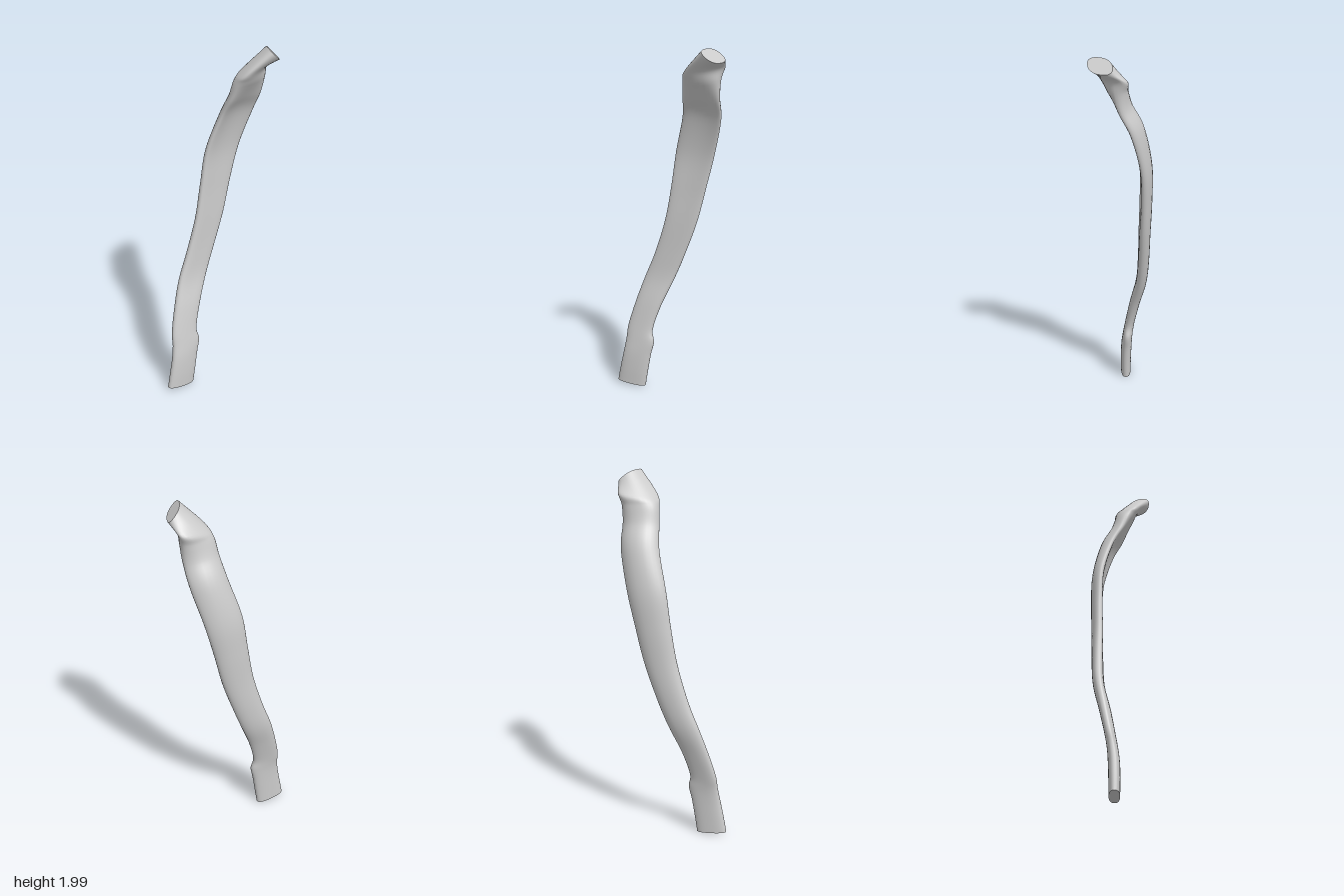
import * as THREE from 'three';

// Cross-sections from bottom to top:
// [left edge x,y,z, right edge x,y,z, half thickness, backward bow]
const SECTIONS = [
  [-0.315, 0.02, -0.052, -0.147, 0.003, -0.046, 0.028, 0.0],
  [-0.298, 0.11, -0.052, -0.132, 0.10, -0.045, 0.030, 0.0],
  [-0.28, 0.20, -0.055, -0.115, 0.20, -0.047, 0.030, 0.0],
  [-0.266, 0.28, -0.066, -0.098, 0.28, -0.05, 0.028, 0.0],
  [-0.258, 0.36, -0.083, -0.108, 0.355, -0.06, 0.027, 0.0],
  [-0.22, 0.50, -0.108, -0.064, 0.50, -0.082, 0.029, 0.002],
  [-0.17, 0.65, -0.13, 0.002, 0.65, -0.112, 0.030, 0.006],
  [-0.112, 0.80, -0.132, 0.062, 0.80, -0.122, 0.031, 0.008],
  [-0.052, 1.00, -0.127, 0.132, 1.00, -0.124, 0.031, 0.011],
  [-0.016, 1.20, -0.126, 0.182, 1.20, -0.124, 0.031, 0.016],
  [0.014, 1.40, -0.116, 0.232, 1.40, -0.110, 0.031, 0.023],
  [0.065, 1.60, -0.062, 0.278, 1.60, -0.056, 0.032, 0.033],
  [0.083, 1.72, -0.004, 0.284, 1.72, 0.0, 0.036, 0.026],
  [0.095, 1.815, 0.026, 0.290, 1.82, 0.018, 0.053, 0.006],
  [0.122, 1.872, 0.052, 0.302, 1.885, 0.025, 0.070, 0.0],
  [0.236, 1.997, 0.112, 0.314, 1.927, 0.102, 0.067, 0.0],
];
const ROWS = 90, SIDES = 28;
const HEAD_FRONT = new THREE.Vector3(-0.4, 0, 0.92);

// Smooth curves through the left edge, the right edge and the thickness values
const curveOf = (pick) => new THREE.CatmullRomCurve3(SECTIONS.map(pick), false, 'catmullrom', 0.5);
const leftEdge = curveOf((s) => new THREE.Vector3(s[0], s[1], s[2]));
const rightEdge = curveOf((s) => new THREE.Vector3(s[3], s[4], s[5]));
const thickness = curveOf((s) => new THREE.Vector3(s[6], s[7], 0));

// One closed, slightly crescent ring across the shaft at t
function ring(t) {
  const l = leftEdge.getPoint(t), r = rightEdge.getPoint(t), k = thickness.getPoint(t);
  const mid = l.clone().add(r).multiplyScalar(0.5);
  const half = r.clone().sub(l).multiplyScalar(0.5);
  const along = leftEdge.getTangent(t).add(rightEdge.getTangent(t));
  const front = half.clone().cross(along).normalize();
  // the head levels out and leans to the right
  front.lerp(HEAD_FRONT, THREE.MathUtils.smoothstep(t, 0.8, 0.95)).normalize();
  const points = [];
  for (let i = 0; i < SIDES; i++) {
    const a = (i / SIDES) * Math.PI * 2;
    const u = Math.sign(Math.cos(a)) * Math.abs(Math.cos(a)) ** 0.85;
    const v = Math.sign(Math.sin(a)) * Math.abs(Math.sin(a)) ** 0.8;
    points.push(mid.clone().addScaledVector(half, u)
      .addScaledVector(front, v * k.x - k.y * (1 - u * u)));
  }
  return points;
}

// Loft through the rings
function shaftGeometry() {
  const pos = [], index = [];
  for (let j = 0; j <= ROWS; j++) {
    for (const p of ring(j / ROWS)) pos.push(p.x, p.y, p.z);
  }
  for (let j = 0; j < ROWS; j++) {
    for (let i = 0; i < SIDES; i++) {
      const n = (i + 1) % SIDES;
      const a = j * SIDES + i, b = j * SIDES + n, c = a + SIDES, d = b + SIDES;
      index.push(a, c, b, b, c, d);
    }
  }
  return build(pos, index);
}

// Flat fan closing one end
function capGeometry(t, top) {
  const points = ring(t), pos = [], index = [];
  const centre = points.reduce((s, p) => s.add(p), new THREE.Vector3()).divideScalar(SIDES);
  for (const p of [...points, centre]) pos.push(p.x, p.y, p.z);
  for (let i = 0; i < SIDES; i++) {
    const n = (i + 1) % SIDES;
    if (top) index.push(SIDES, n, i);
    else index.push(SIDES, i, n);
  }
  return build(pos, index);
}

function build(pos, index) {
  const g = new THREE.BufferGeometry();
  g.setAttribute('position', new THREE.Float32BufferAttribute(pos, 3));
  g.setIndex(index);
  g.computeVertexNormals();
  return g;
}

export function createModel() {
  const group = new THREE.Group();
  group.name = 'ribBone';
  const material = new THREE.MeshStandardMaterial({ color: 0xcccccc, side: THREE.DoubleSide });
  const add = (name, geometry) => {
    const mesh = new THREE.Mesh(geometry, material);
    mesh.name = name;
    group.add(mesh);
  };
  add('shaft', shaftGeometry());
  add('lowerEnd', capGeometry(0, false));
  add('upperEndFacet', capGeometry(1, true));
  return group;
}
